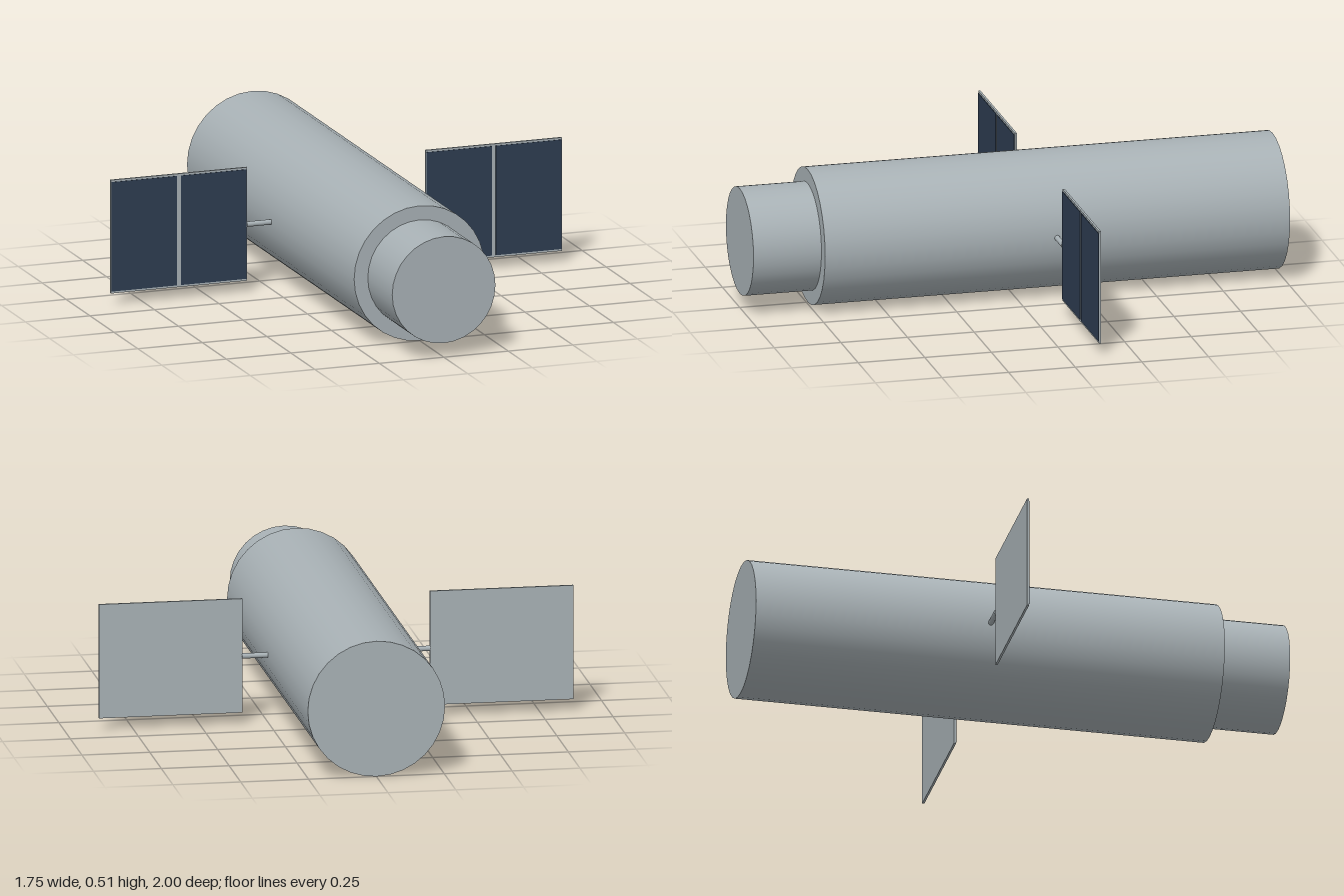
import * as THREE from 'three';

export function createModel() {
  const model = new THREE.Group();
  model.name = 'spaceTelescope';
  const hull = new THREE.MeshStandardMaterial({ name: 'hull grey', color: 0xa8b1b5 });
  const cells = new THREE.MeshStandardMaterial({ name: 'solar cell blue', color: 0x2d3c50 });
  const axisY = 0.253;
  const wingZ = -0.126;

  function add(parent, name, geometry, material, x, y, z) {
    const mesh = new THREE.Mesh(geometry, material);
    mesh.name = name;
    mesh.position.set(x, y, z);
    parent.add(mesh);
    return mesh;
  }

  // Capped cylinder lying along z
  function barrel(name, radius, z0, z1) {
    const geometry = new THREE.CylinderGeometry(radius, radius, z1 - z0, 32).rotateX(Math.PI / 2);
    add(model, name, geometry, hull, 0, axisY, (z0 + z1) / 2);
  }
  barrel('mainTube', 0.253, -1, 0.745);
  barrel('frontTube', 0.2, 0.745, 1);

  // One wing per side: strut, panel and two cell plates on the front face
  for (const side of [1, -1]) {
    const wing = new THREE.Group();
    wing.name = side > 0 ? 'leftWing' : 'rightWing';
    wing.position.set(0, axisY, wingZ);
    model.add(wing);

    const strut = new THREE.CylinderGeometry(0.01, 0.01, 0.11, 12).rotateZ(Math.PI / 2);
    add(wing, 'strut', strut, hull, side * 0.292, 0, 0);
    add(wing, 'panel', new THREE.BoxGeometry(0.528, 0.426, 0.008), hull, side * 0.61, 0.002, 0);
    for (const x of [0.4755, 0.7445]) {
      add(wing, 'solarCells', new THREE.BoxGeometry(0.254, 0.411, 0.002), cells, side * x, 0.002, 0.005);
    }
  }
  return model;
}
